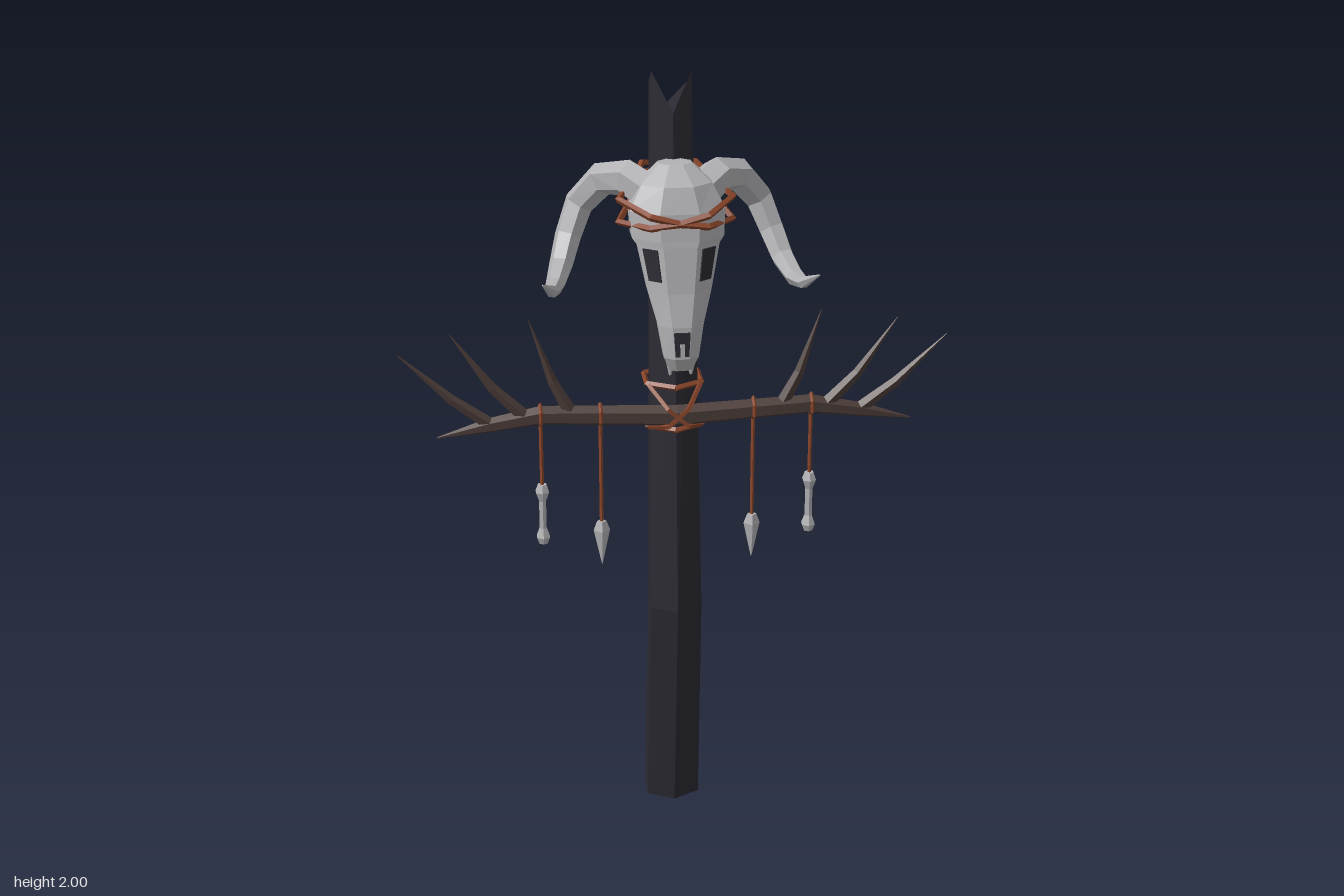
import * as THREE from 'three';

const mat = (name, color, side = THREE.FrontSide) => {
  const m = new THREE.MeshStandardMaterial({ color, side });
  m.name = name;
  return m;
};
const V = (x, y, z) => new THREE.Vector3(x, y, z);

// Faceted skin through rings of points (counter-clockwise about the path), with end caps
function loft(rings) {
  const pos = [];
  const tri = (...p) => p.forEach(v => pos.push(v.x, v.y, v.z));
  const n = rings[0].length;
  for (let k = 0; k < rings.length - 1; k++) {
    const a = rings[k], b = rings[k + 1];
    for (let i = 0; i < n; i++) {
      const j = (i + 1) % n;
      tri(a[i], a[j], b[j]);
      tri(a[i], b[j], b[i]);
    }
  }
  const first = rings[0], last = rings[rings.length - 1];
  for (let i = 1; i < n - 1; i++) {
    tri(first[0], first[i + 1], first[i]);
    tri(last[0], last[i], last[i + 1]);
  }
  const g = new THREE.BufferGeometry();
  g.setAttribute('position', new THREE.Float32BufferAttribute(pos, 3));
  g.computeVertexNormals();
  return g;
}

// Tapering limb along points [x, y, z, radius]
function limb(path, sides) {
  const p = path.map(([x, y, z]) => V(x, y, z));
  const tangent = k => p[Math.min(k + 1, p.length - 1)].clone().sub(p[Math.max(k - 1, 0)]).normalize();
  let t = tangent(0);
  const u = (Math.abs(t.y) > 0.9 ? V(0, 0, 1) : V(0, 1, 0));
  u.addScaledVector(t, -u.dot(t)).normalize();
  return loft(p.map((c, k) => {
    const next = tangent(k);
    u.applyQuaternion(new THREE.Quaternion().setFromUnitVectors(t, next));
    t = next;
    const w = t.clone().cross(u);
    return Array.from({ length: sides }, (_, i) => {
      const a = (i / sides) * Math.PI * 2;
      return c.clone().addScaledVector(u, Math.cos(a) * path[k][3]).addScaledVector(w, Math.sin(a) * path[k][3]);
    });
  }));
}

// Horizontal ring; a point at the front when phase is 0
const ring = (n, phase, y, zc, rx, rz) => Array.from({ length: n }, (_, i) => {
  const a = (i / n) * Math.PI * 2 + phase;
  return V(Math.sin(a) * rx, y, zc + Math.cos(a) * rz);
});

// Thin panel laid over one facet between two rings
function panel(a, b, i, u0, u1, v0, v1, lift) {
  const j = (i + 1) % a.length;
  const at = (u, v) => a[i].clone().lerp(a[j], u).lerp(b[i].clone().lerp(b[j], u), v);
  const q = [at(u0, v0), at(u1, v0), at(u1, v1), at(u0, v1)];
  const n = q[1].clone().sub(q[0]).cross(q[3].clone().sub(q[0])).normalize();
  return loft([q, q.map(c => c.clone().addScaledVector(n, lift))]);
}

export function createModel() {
  const root = new THREE.Group();
  root.name = 'skullTotem';
  const charred = mat('charredWood', 0x2b2a32);
  const branch = mat('branchWood', 0x4b3c38);
  const bone = mat('bone', 0xb2b1b4);
  const cord = mat('leatherCord', 0x88452a);
  const add = (name, geometry, material, parent = root) => {
    const m = new THREE.Mesh(geometry, material);
    m.name = name;
    parent.add(m);
    return m;
  };

  // Bent hexagonal post with a notched top
  const top = ring(6, 0, 1.9, -0.092, 0.057, 0.062);
  [1, 5].forEach(i => { top[i].y = 2; });
  [2, 4].forEach(i => { top[i].y = 1.96; });
  add('post', loft([
    ring(6, 0, 0, -0.075, 0.08, 0.075),
    ring(6, 0, 0.61, 0.006, 0.076, 0.075),
    top,
  ]), charred);

  // Skull: rows of y, z centre, half width, half depth
  const k = 1 / Math.cos(Math.PI / 8);
  const rows = [
    [1.305, 0.13, 0.028, 0.02], [1.34, 0.133, 0.043, 0.032], [1.42, 0.115, 0.056, 0.046],
    [1.5, 0.085, 0.078, 0.057], [1.61, 0.06, 0.1, 0.066], [1.625, 0.048, 0.112, 0.075],
    [1.69, 0.035, 0.116, 0.079], [1.75, 0.025, 0.086, 0.064], [1.79, 0, 0.04, 0.03],
  ];
  const s = rows.map(([y, z, rx, rz]) => ring(8, Math.PI / 8, y, z, rx * k, rz * k));
  const skull = new THREE.Group();
  skull.name = 'skull';
  root.add(skull);
  add('skullBone', loft(s), bone, skull);
  add('leftEyeSocket', panel(s[3], s[4], 0, 0.22, 0.8, 0.25, 0.95, 0.004), charred, skull);
  add('rightEyeSocket', panel(s[3], s[4], 6, 0.2, 0.78, 0.25, 0.95, 0.004), charred, skull);
  add('nasalOpening', panel(s[1], s[2], 7, 0.05, 0.95, 0.1, 0.85, 0.004), charred, skull);
  add('nasalBone', panel(s[1], s[2], 7, 0.36, 0.64, 0.1, 0.5, 0.007), bone, skull);

  for (const [side, m] of [['left', 1], ['right', -1]]) {
    const mirrored = path => path.map(([x, y, z, r]) => [x * m, y, z, r]);

    add(side + 'Tooth', limb(mirrored([[0.024, 1.33, 0.135, 0.014], [0.026, 1.288, 0.128, 0.003]]), 4), bone, skull);

    // Curled horn
    add(side + 'Horn', limb(mirrored([
      [0.05, 1.71, 0.02, 0.05], [0.11, 1.745, -0.03, 0.046], [0.17, 1.727, -0.09, 0.042],
      [0.225, 1.66, -0.116, 0.038], [0.255, 1.585, -0.092, 0.034], [0.277, 1.525, -0.045, 0.03],
      [0.297, 1.495, 0.025, 0.024], [0.308, 1.5, 0.085, 0.016], [0.335, 1.54, 0.155, 0.002],
    ]), 6), bone);

    // Tines on the crossbar
    [
      [[0.47, 1.145, 0.04, 0.017], [0.56, 1.21, 0.035, 0.013], [0.69, 1.33, 0.025, 0.001]],
      [[0.38, 1.16, 0.045, 0.018], [0.46, 1.24, 0.04, 0.013], [0.56, 1.38, 0.03, 0.001]],
      [[0.265, 1.165, 0.05, 0.018], [0.31, 1.25, 0.045, 0.013], [0.365, 1.41, 0.035, 0.001]],
    ].forEach((path, i) => add(side + 'Tine' + (i + 1), limb(mirrored(path), 5), branch));

    // Hanging cords tied round the bar, with a bone and a spearhead
    for (const [x, z, end] of [[0.342, 0.045, 0.96], [0.193, 0.055, 0.865]]) {
      const tie = [];
      for (let i = 0; i <= 6; i++) {
        const a = (i / 6) * Math.PI * 2;
        tie.push([x * m, 1.163 + Math.cos(a) * 0.028, z + Math.sin(a) * 0.028, 0.005]);
      }
      add(side + 'CordTie', limb(tie, 4), cord);
      add(side + 'HangingCord', limb([[x * m, 1.15, z, 0.005], [x * m, end, z, 0.005]], 4), cord);
    }
    const charm = profile => profile.map(([x, y, z, r]) => [x * m, y, z, r]);
    add(side + 'BoneCharm', limb(charm([
      [0.342, 0.975, 0.045, 0.012], [0.342, 0.955, 0.045, 0.019], [0.342, 0.93, 0.045, 0.01],
      [0.342, 0.855, 0.045, 0.01], [0.342, 0.83, 0.045, 0.019], [0.342, 0.812, 0.045, 0.012],
    ]), 6), bone);
    add(side + 'Spearhead', limb(charm([
      [0.193, 0.87, 0.055, 0.012], [0.193, 0.845, 0.055, 0.021], [0.193, 0.75, 0.055, 0.001],
    ]), 4), bone);
  }

  // Crossbar
  add('crossbar', limb([
    [-0.6, 1.11, 0.035, 0.002], [-0.47, 1.14, 0.04, 0.019], [-0.34, 1.163, 0.045, 0.025],
    [0, 1.155, 0.065, 0.028],
    [0.34, 1.163, 0.045, 0.025], [0.47, 1.14, 0.04, 0.019], [0.6, 1.11, 0.035, 0.002],
  ], 6), branch);

  // Bindings round the post and crossed over the bar
  for (const [y, zc] of [[1.215, -0.045], [1.105, -0.035]]) {
    const loop = ring(6, 0, y, zc, 0.08, 0.078);
    add('postBinding', limb([...loop, loop[0]].map(p => [p.x, p.y, p.z, 0.008]), 4), cord);
  }
  for (const m of [1, -1]) {
    add('crossBinding', limb([
      [-0.065 * m, 1.215, 0.005, 0.007], [-0.025 * m, 1.18, 0.092, 0.007],
      [0.025 * m, 1.135, 0.092, 0.007], [0.065 * m, 1.105, 0.01, 0.007],
    ], 4), cord);
    // Tilted cord holding the skull to the post
    const half = [[0.07, 1.672, 0.115], [0.14, 1.68, 0.03], [0.085, 1.725, -0.065], [0.066, 1.742, -0.13]];
    const lash = [
      [0, 1.668, 0.119], ...half, [0, 1.742, -0.16],
      ...half.map(([x, y, z]) => [-x, y, z]).reverse(), [0, 1.668, 0.119],
    ];
    add('skullLashing', limb(lash.map(([x, y, z]) => [x, y + 0.2 * x * m, z, 0.009]), 4), cord);
  }
  return root;
}
